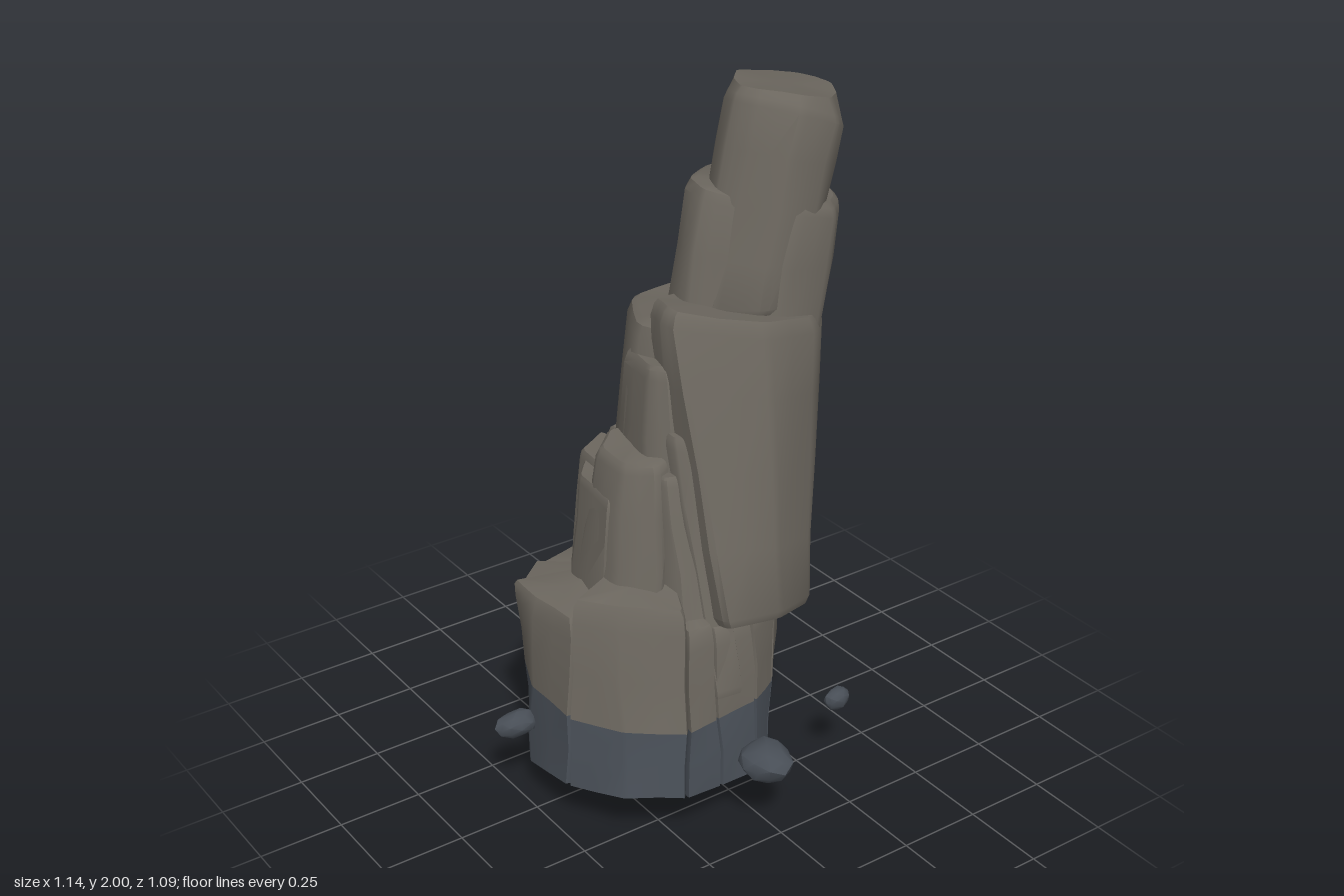
import * as THREE from 'three';
import { toCreasedNormals, mergeVertices } from 'three/addons/utils/BufferGeometryUtils.js';

const stone = new THREE.MeshStandardMaterial({ color: 0x6b665e });
const wetStone = new THREE.MeshStandardMaterial({ color: 0x484e56 });

const mix = (a, b, t) => a.map((v, i) => v + (b[i] - v) * t);
const shift = (outline, dx, dz) => outline.map(([x, z]) => [x + dx, z + dz]);
const planeY = ([c, sx = 0, sz = 0], x, z) => c + sx * x + sz * z;

// Clip the corners of an outline and add a point halfway along each edge.
function soften(outline, cut) {
  const n = outline.length, out = [];
  outline.forEach((p, i) => {
    const prev = outline[(i + n - 1) % n], next = outline[(i + 1) % n];
    out.push(mix(p, prev, cut), mix(p, next, cut), mix(p, next, 0.5));
  });
  return out;
}

// Set an outline onto a sloping plane y = c + sx * x + sz * z.
const onPlane = (outline, plane, cut) =>
  soften(outline, cut).map(([x, z]) => [x, planeY(plane, x, z), z]);

const centreOf = (ring) =>
  [0, 1, 2].map((k) => ring.reduce((sum, p) => sum + p[k], 0) / ring.length);

function inset(ring, s) {
  const c = centreOf(ring);
  return ring.map((p) => [c[0] + (p[0] - c[0]) * s, p[1], c[2] + (p[2] - c[2]) * s]);
}

// Gentle uneven weathering that depends on position only.
function weather([x, y, z]) {
  const a = 0.007 * Math.sin(21 * x + 8 * y) * Math.sin(11 * y + 17 * z + 1);
  const b = 0.007 * Math.sin(19 * z - 9 * y + 2) * Math.sin(10 * y + 15 * x);
  return [x + a, y + b * 0.8, z + b];
}

// Skin a stack of equal-length rings and optionally close the ends.
function skin(name, rings, material, capBottom = true, capTop = true) {
  const n = rings[0].length, index = [];
  const points = rings.flat();
  for (let r = 0; r < rings.length - 1; r++) {
    for (let j = 0; j < n; j++) {
      const a = r * n + j, b = r * n + (j + 1) % n;
      index.push(a, b, b + n, a, b + n, a + n);
    }
  }
  const cap = (first, up) => {
    const c = points.length;
    points.push(centreOf(points.slice(first, first + n)));
    for (let j = 0; j < n; j++) {
      const a = first + j, b = first + (j + 1) % n;
      index.push(c, ...(up ? [a, b] : [b, a]));
    }
  };
  if (capBottom) cap(0, false);
  if (capTop) cap((rings.length - 1) * n, true);
  const geometry = new THREE.BufferGeometry();
  geometry.setAttribute('position', new THREE.Float32BufferAttribute(points.flatMap(weather), 3));
  geometry.setIndex(index);
  const mesh = new THREE.Mesh(toCreasedNormals(geometry, 0.6), material);
  mesh.name = name;
  return mesh;
}

// Rock block between two outlines; the worn crown may lie on its own plane.
function block(name, low, lowPlane, high, highPlane, { cut = 0.1, crown = 0.88, crownPlane = highPlane } = {}) {
  const a = onPlane(low, lowPlane, cut), b = onPlane(high, highPlane, cut);
  const at = (t) => a.map((p, i) => mix(p, b[i], t));
  const rings = [inset(a, 0.95)];
  for (const t of [0.03, 0.25, 0.5, 0.75, 0.95]) rings.push(at(t));
  rings.push(inset(at(0.985), 0.96));
  rings.push(inset(b, crown).map(([x, , z]) => [x, planeY(crownPlane, x, z), z]));
  return skin(name, rings, stone);
}

// Broad foot, split by narrow cracks into wedges around a centre.
function makeBase() {
  const group = new THREE.Group();
  group.name = 'base';
  const low = [[-0.48, 0.13], [-0.39, 0.3], [-0.25, 0.4], [-0.12, 0.385], [0.02, 0.36], [0.1, 0.3], [0.18, 0.19],
    [0.22, 0.03], [0.2, -0.15], [0.1, -0.29], [-0.05, -0.32], [-0.2, -0.31], [-0.37, -0.22], [-0.47, -0.08]];
  const high = [[-0.415, 0.07], [-0.34, 0.17], [-0.19, 0.31], [-0.1, 0.31], [0.03, 0.31], [0.15, 0.26], [0.24, 0.15],
    [0.285, 0.02], [0.25, -0.15], [0.1, -0.36], [-0.07, -0.41], [-0.26, -0.36], [-0.42, -0.23], [-0.43, -0.1]];
  // Outline span of each wedge and the height of its outer rim.
  const wedges = [[0, 2, 0.69], [2, 3, 0.62], [3, 4, 0.6], [4, 5, 0.6], [5, 7, 0.52], [7, 8, 0.5],
    [8, 10, 0.53], [10, 11, 0.55], [11, 12, 0.57], [12, 14, 0.62]];
  for (const [from, to, top] of wedges) {
    const pick = (list, centre) => {
      const out = [centre];
      for (let i = from; i <= to; i++) out.push(list[i % list.length]);
      return out;
    };
    const a = inset(onPlane(pick(low, [-0.1, 0]), [0.055, -0.12, 0.18], 0.04), 0.988);
    // Tops climb gently towards the middle.
    const b = inset(onPlane(pick(high, [-0.04, -0.04]), [top], 0.04), 0.988)
      .map(([x, y, z]) => [x, y + 0.25 * Math.max(0, 0.3 - Math.hypot(x + 0.04, z + 0.04)), z]);
    const waterline = a.map((p, i) => mix(p, b[i], (0.34 - p[1]) / (b[i][1] - p[1])));
    const between = (t) => waterline.map((p, i) => mix(p, b[i], t));
    group.add(
      skin('wetFoot', [a, a.map((p, i) => mix(p, waterline[i], 0.5)), waterline], wetStone, true, false),
      skin('footWedge', [waterline, between(0.4), between(0.8), inset(between(0.95), 0.97), inset(b, 0.91)],
        stone, false, true));
  }
  return group;
}

// Loose stone: a dented, stretched ball.
function pebble([x, y, z], [rx, ry, rz], turn) {
  const ball = new THREE.IcosahedronGeometry(1, 1);
  ball.deleteAttribute('normal');
  ball.deleteAttribute('uv');
  const geometry = mergeVertices(ball, 1e-3);
  const p = geometry.attributes.position;
  for (let i = 0; i < p.count; i++) {
    const k = 0.97 + 0.07 * Math.sin(i * 2.7 + turn * 5);
    p.setXYZ(i, p.getX(i) * rx * k, p.getY(i) * ry * k, p.getZ(i) * rz * k);
  }
  const mesh = new THREE.Mesh(toCreasedNormals(geometry, 0.7), wetStone);
  mesh.position.set(x, y, z);
  mesh.rotation.y = turn;
  mesh.name = 'looseStone';
  return mesh;
}

export function createModel() {
  const model = new THREE.Group();
  model.name = 'leaningRockSpire';
  model.add(makeBase());

  // Summit and shoulder
  const summit = [[0.215, -0.05], [0.24, 0.01], [0.33, 0.105], [0.44, 0.115], [0.525, 0.05], [0.565, -0.05],
    [0.53, -0.19], [0.47, -0.235], [0.33, -0.23], [0.24, -0.13]];
  model.add(block('summit', shift(summit, -0.15, 0.03), [1.4], summit, [2.075, -0.38, 0.1],
    { crown: 0.85, crownPlane: [2.04, -0.18] }));
  const shoulder = [[0.11, -0.05], [0.17, 0.02], [0.31, 0.13], [0.44, 0.13], [0.53, 0.04], [0.575, -0.08],
    [0.52, -0.25], [0.3, -0.3], [0.13, -0.16]];
  model.add(block('shoulder', shift(shoulder, -0.17, 0.06), [1.0], shoulder, [1.765, -0.22]));

  // Large overhanging slab on the front
  model.add(block('frontSlab',
    [[-0.09, 0.1], [-0.08, 0.35], [0.1, 0.35], [0.26, 0.275], [0.325, 0.16], [0.33, -0.09], [0.1, -0.14], [-0.08, 0]], [0.53, -0.15, 0.2],
    [[-0.07, 0], [-0.065, 0.05], [0.15, 0.195], [0.33, 0.185], [0.45, 0.075], [0.505, -0.14], [0.2, -0.15], [-0.04, -0.08]], [1.435, -0.16],
    { cut: 0.06, crown: 0.92 }));

  // Stepped blocks down the back
  const upperBack = [[0, 0.04], [0.25, 0.04], [0.49, -0.08], [0.485, -0.2], [0.39, -0.3], [0.2, -0.335], [0.03, -0.3], [-0.06, -0.12]];
  model.add(block('upperBackBlock', shift(upperBack, -0.16, 0.09), [0.6], upperBack, [1.36, -0.05]));
  model.add(block('lowerBackBlock',
    [[-0.02, 0.05], [0.29, 0.05], [0.29, -0.12], [0.2, -0.27], [0.08, -0.31], [-0.02, -0.28]], [0.42],
    [[0.06, 0], [0.39, 0], [0.395, -0.17], [0.27, -0.34], [0.14, -0.4], [0.07, -0.37]], [0.96, -0.02]));
  const backSteps = [
    [[[-0.05, 0], [0.09, 0], [0.1, -0.375], [0.01, -0.365]], 0.93],
    [[[-0.12, 0], [-0.01, 0], [0.03, -0.35], [-0.07, -0.335]], 0.91],
    [[[-0.18, 0.02], [-0.06, 0], [-0.05, -0.325], [-0.16, -0.265]], 0.95],
    [[[-0.24, 0.02], [-0.1, 0.02], [-0.14, -0.26], [-0.23, -0.17]], 0.93],
  ];
  for (const [outline, top] of backSteps) {
    model.add(block('backStep', shift(outline, -0.1, 0.07), [0.42], outline, [top, 0.05], { cut: 0.05, crown: 0.9 }));
  }

  // Slender columns on the right flank and front
  model.add(block('flankColumn',
    [[-0.34, 0.14], [-0.24, 0.26], [-0.1, 0.1], [-0.1, -0.1], [-0.22, -0.2], [-0.33, -0.12]], [0.45],
    [[-0.21, 0.03], [-0.14, 0.1], [-0.02, 0.06], [-0.02, -0.12], [-0.13, -0.17], [-0.21, -0.1]], [1.05, 0.1]));
  model.add(block('flankColumn',
    [[-0.22, 0.14], [-0.14, 0.26], [0, 0.2], [0, -0.15], [-0.18, -0.15]], [0.5],
    [[-0.105, -0.01], [-0.07, 0.04], [0.1, 0.04], [0.1, -0.2], [-0.07, -0.16]], [1.28]));
  model.add(block('frontColumn',
    [[-0.2, 0.12], [-0.18, 0.31], [-0.11, 0.32], [-0.06, 0.1]], [0.5],
    [[-0.15, 0.03], [-0.13, 0.12], [-0.08, 0.14], [-0.02, 0.03]], [1.0], { cut: 0.06 }));
  model.add(block('frontColumn',
    [[-0.12, 0.1], [-0.11, 0.35], [-0.03, 0.36], [0.02, 0.1]], [0.4],
    [[-0.1, 0.02], [-0.1, 0.11], [-0.03, 0.18], [0.02, 0.05]], [1.11], { cut: 0.06 }));

  // Loose stones around the foot
  model.add(
    pebble([-0.025, 0.225, 0.455], [0.078, 0.055, 0.086], 0),
    pebble([-0.505, 0.235, -0.088], [0.066, 0.04, 0.042], -0.15),
    pebble([0.342, 0.215, 0.317], [0.046, 0.036, 0.03], 0.1),
    pebble([0.295, 0.22, -0.385], [0.044, 0.04, 0.06], 0.3),
    pebble([0.062, 0.265, -0.515], [0.036, 0.03, 0.025], -0.6));
  return model;
}
